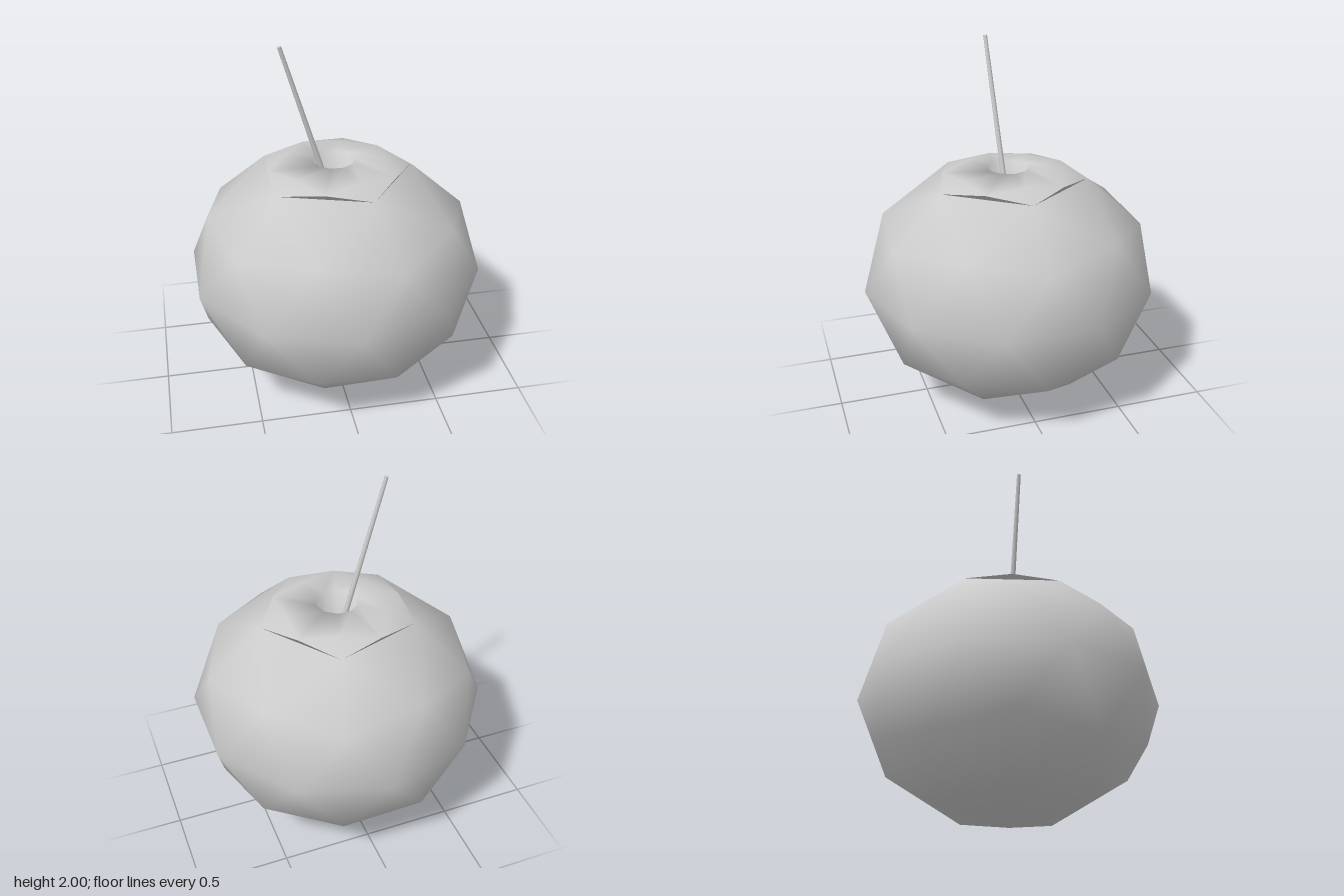
import * as THREE from 'three';

const N = 10;
const material = new THREE.MeshStandardMaterial({ color: 0xcccccc });

// Fruit: ten-sided rows from the bottom of the stem hole, over the rim, down to the base.
// Each row gives [radius, height] for even and odd corners, and a turn in degrees;
// "half" rows have five corners, "point" rows one.
function fruitGeometry() {
  const R = 0.825, H = 0.69;
  const s = (r, y) => [r * R, H + y * H]; // unit sphere profile to squashed size
  const rows = [
    { even: [0, 0.9], type: 'point' },
    { even: [0.085, 0.9] },
    { even: [0.117, 1.33] },
    { even: [0.29, 1.31], odd: [0.365, 1.293] },
    { even: [0.434, 1.266], type: 'half' },
    { even: s(0.8944, 0.4472), odd: s(0.8507, 0.5257), flip: true },
    { even: s(1, 0), turn: -18 },
    { even: s(0.8944, -0.4472), odd: s(0.8507, -0.5257), turn: -36 },
    { even: s(0.5257, -0.8507), turn: -36, type: 'half' },
    { even: s(0, -1), type: 'point' },
  ];
  const positions = [], index = [];
  const slots = rows.map(({ even, odd = even, turn = 0, type }) => {
    const row = [];
    for (let i = 0; i < N; i++) {
      const shared = i > 0 && (type === 'point' || (type === 'half' && i % 2));
      if (!shared) {
        const [r, y] = i % 2 ? odd : even;
        const a = THREE.MathUtils.degToRad(36 * i + turn);
        positions.push(r * Math.cos(a), y, r * Math.sin(a));
      }
      row.push(positions.length / 3 - 1);
    }
    return row;
  });
  const tri = (a, b, c) => {
    if (a !== b && b !== c && c !== a) index.push(a, b, c);
  };
  for (let k = 0; k < rows.length - 1; k++) {
    const a = slots[k], b = slots[k + 1];
    for (let i = 0; i < N; i++) {
      const j = (i + 1) % N;
      if (rows[k + 1].flip) {
        tri(a[i], a[j], b[i]);
        tri(a[j], b[j], b[i]);
      } else {
        tri(a[i], b[j], b[i]);
        tri(a[i], a[j], b[j]);
      }
    }
  }
  const geometry = new THREE.BufferGeometry();
  geometry.setAttribute('position', new THREE.Float32BufferAttribute(positions, 3));
  geometry.setIndex(index);
  geometry.computeVertexNormals();
  return geometry;
}

export function createModel() {
  const group = new THREE.Group();

  const fruit = new THREE.Mesh(fruitGeometry(), material);
  fruit.name = 'fruit';
  group.add(fruit);

  // Thin leaning stem rooted in the hole
  const base = new THREE.Vector3(0.05, 0.9, -0.007);
  const tip = new THREE.Vector3(-0.287, 1.997, 0.043);
  const along = tip.clone().sub(base);
  const stem = new THREE.Mesh(new THREE.CylinderGeometry(0.011, 0.017, along.length(), 8), material);
  stem.position.copy(base).add(tip).multiplyScalar(0.5);
  stem.quaternion.setFromUnitVectors(new THREE.Vector3(0, 1, 0), along.normalize());
  stem.name = 'stem';
  group.add(stem);

  return group;
}
